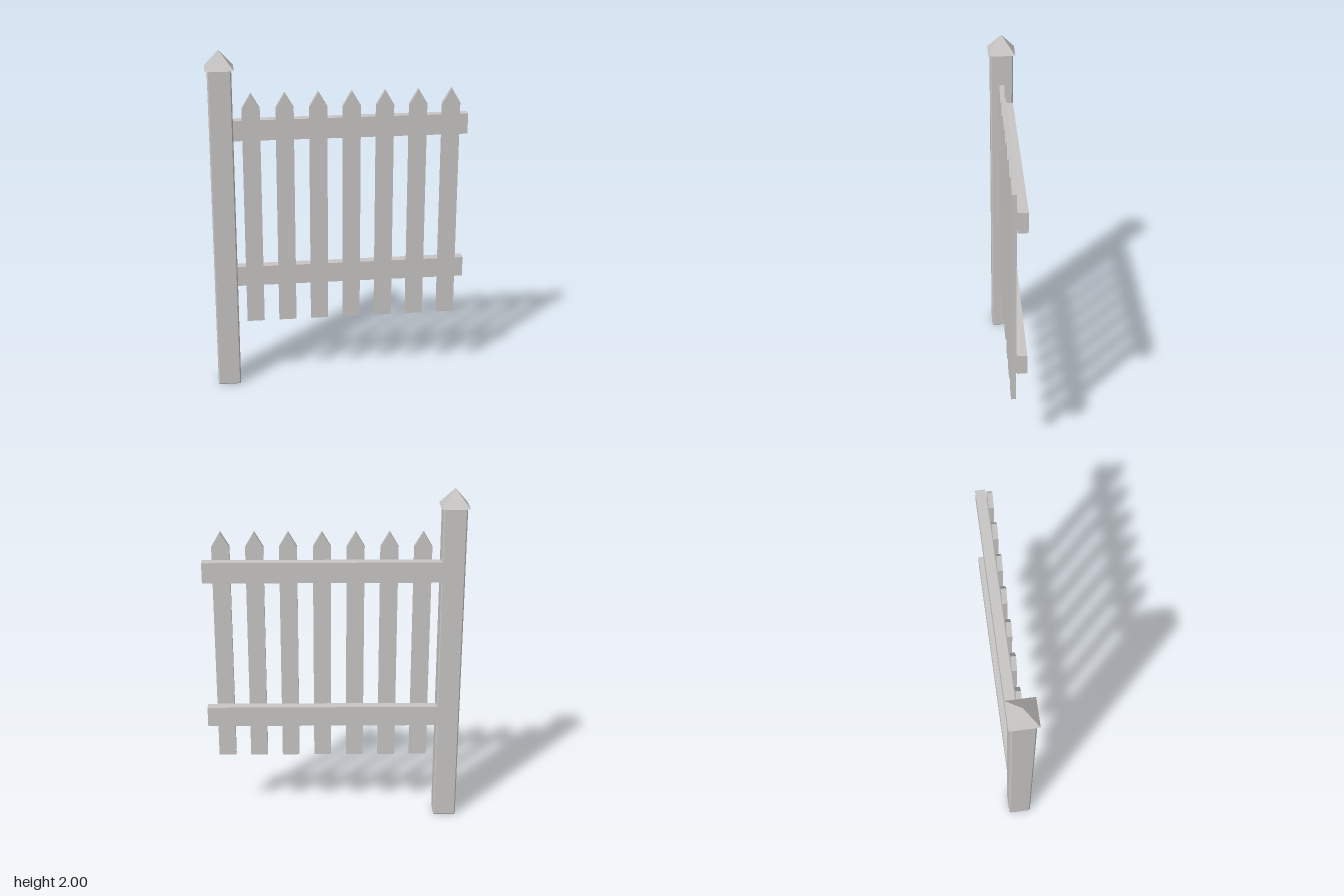
import * as THREE from 'three';
import { ConvexGeometry } from 'three/addons/geometries/ConvexGeometry.js';

// Box with a flat chamfer on every edge
function chamferBox(w, h, d, c) {
  const points = [];
  for (const sx of [-1, 1]) for (const sy of [-1, 1]) for (const sz of [-1, 1]) {
    for (let axis = 0; axis < 3; axis++) {
      const inset = [c, c, c];
      inset[axis] = 0;
      points.push(new THREE.Vector3(
        sx * (w / 2 - inset[0]), sy * (h / 2 - inset[1]), sz * (d / 2 - inset[2])));
    }
  }
  return new ConvexGeometry(points);
}

export function createModel() {
  const model = new THREE.Group();
  model.name = 'picketFence';
  const wood = new THREE.MeshStandardMaterial({ color: 0xc8c6c4 });
  wood.name = 'pale grey wood';

  function add(name, geometry, x, y, z) {
    const mesh = new THREE.Mesh(geometry, wood);
    mesh.name = name;
    mesh.position.set(x, y, z);
    model.add(mesh);
  }

  // Post with chamfered edges and a pyramid cap
  const postX = -0.66;
  add('post', chamferBox(0.132, 1.9, 0.132, 0.007), postX, 0.95, 0);
  const cap = new THREE.ConeGeometry(0.158 / Math.SQRT2, 0.1, 4).rotateY(Math.PI / 4).toNonIndexed();
  cap.computeVertexNormals();
  add('postCap', cap, postX, 1.95, 0);

  // Two rails behind the pickets, running into the post
  const railStart = -0.61, railEnd = 0.737;
  const rail = new THREE.BoxGeometry(railEnd - railStart, 0.118, 0.056);
  add('lowerRail', rail, (railStart + railEnd) / 2, 0.659, -0.038);
  add('upperRail', rail, (railStart + railEnd) / 2, 1.537, -0.038);

  // Seven pointed pickets
  const outline = new THREE.Shape([
    new THREE.Vector2(-0.05, 0.385),
    new THREE.Vector2(0.05, 0.385),
    new THREE.Vector2(0.05, 1.67),
    new THREE.Vector2(0, 1.755),
    new THREE.Vector2(-0.05, 1.67),
  ]);
  const picket = new THREE.ExtrudeGeometry(outline, { depth: 0.028, bevelEnabled: false });
  for (let i = 0; i < 7; i++) add('picket' + (i + 1), picket, -0.493 + i * 0.1877, 0, -0.01);

  return model;
}
